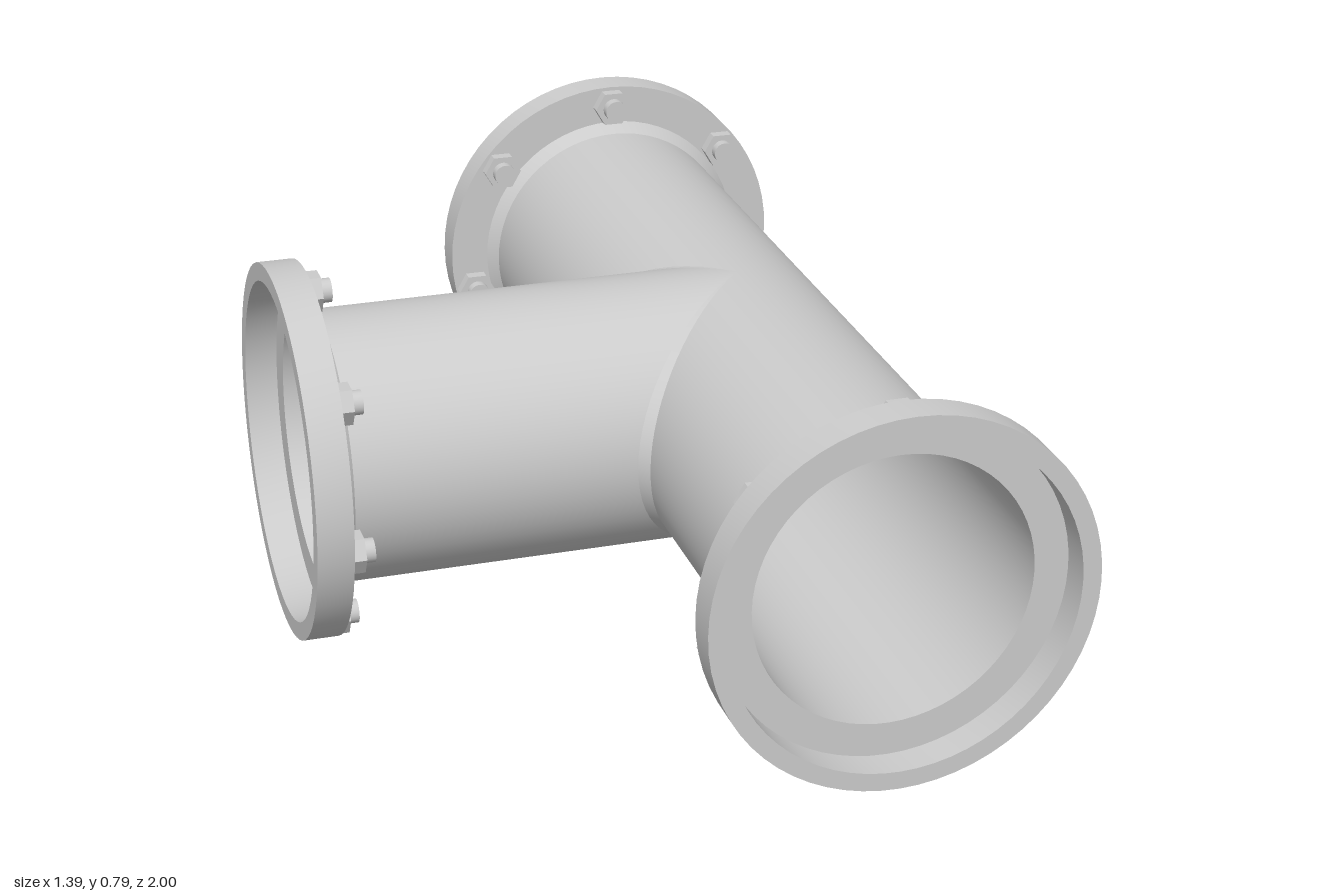
import * as THREE from 'three';
import { toCreasedNormals } from 'three/addons/utils/BufferGeometryUtils.js';
import { ParametricGeometry } from 'three/addons/geometries/ParametricGeometry.js';

const R = 0.285;          // pipe radius
const FLANGE_R = 0.393;
const FLANGE_T = 0.075;   // flange thickness
const RECESS = 0.068;     // depth of the socket in the flange face
const BOLTS = 7;
const BOLT_R = 0.347;     // bolt circle radius

const steel = new THREE.MeshStandardMaterial({ color: 0xcccccc, side: THREE.DoubleSide });

function add(parent, geometry, name) {
  const mesh = new THREE.Mesh(geometry, steel);
  mesh.name = name;
  parent.add(mesh);
  return mesh;
}

// Ring turned around the z axis from [radius, z] pairs
function turned(points) {
  const profile = points.map(([r, z]) => new THREE.Vector2(r, z));
  const geometry = new THREE.LatheGeometry(profile, 64).rotateX(Math.PI / 2);
  return toCreasedNormals(geometry, Math.PI / 6);
}

// Thin open tube along +z whose inner end is cut to the mitre z = cut(x)
function mitredPipe(length, cut) {
  const geometry = new THREE.CylinderGeometry(R, R, length, 64, 1, true);
  geometry.rotateX(Math.PI / 2).translate(0, 0, length / 2);
  const p = geometry.attributes.position;
  for (let i = 0; i < p.count; i++) {
    if (p.getZ(i) < length / 2) p.setZ(i, cut(p.getX(i)));
  }
  return geometry;
}

// Hexagonal nut with the bolt end, pointing away from the flange (-z)
function createBolt() {
  const bolt = new THREE.Group();
  bolt.name = 'bolt';
  const nut = new THREE.CylinderGeometry(0.043, 0.043, 0.026, 6);
  nut.rotateY(Math.PI / 6).rotateX(Math.PI / 2).translate(0, 0, -0.013);
  add(bolt, toCreasedNormals(nut, 0.5), 'nut');
  const shank = new THREE.CylinderGeometry(0.025, 0.025, 0.048, 20);
  add(bolt, shank.rotateX(Math.PI / 2).translate(0, 0, -0.024), 'boltEnd');
  return bolt;
}

// One arm of the tee: pipe, flange, weld collar and bolts
function createArm(name, length, cut) {
  const arm = new THREE.Group();
  arm.name = name;
  add(arm, mitredPipe(length - RECESS, cut), 'pipe');

  const back = length - FLANGE_T;
  const floor = length - RECESS;
  add(arm, turned([
    [R, back], [FLANGE_R, back], [FLANGE_R, length], [0.355, length],
    [0.355, floor], [R, floor], [R, back],
  ]), 'flange');
  add(arm, turned([[R, back - 0.025], [0.307, back]]), 'weldCollar');

  for (let i = 0; i < BOLTS; i++) {
    const a = (i / BOLTS) * Math.PI * 2;
    const bolt = createBolt();
    bolt.position.set(Math.sin(a) * BOLT_R, Math.cos(a) * BOLT_R, back);
    arm.add(bolt);
  }
  return arm;
}

export function createModel() {
  const tee = new THREE.Group();
  tee.name = 'pipeTee';

  // Straight run, front and back halves
  const front = createArm('frontArm', 1, (x) => Math.max(0, -x));
  const rear = createArm('backArm', 1, (x) => Math.max(0, x));
  rear.rotation.y = Math.PI;

  // Side branch
  const branch = createArm('branchArm', 0.995, (x) => Math.abs(x));
  branch.rotation.y = -Math.PI / 2;
  tee.add(front, rear, branch);

  // Small weld along each mitre, fading out at top and bottom
  for (const side of [1, -1]) {
    const weld = new ParametricGeometry((u, v, target) => {
      const t = (u - 0.5) * Math.PI;
      const c = Math.cos(t);
      const d = 0.02 * c;
      target.set(-R * c - d * (1 - v), R * Math.sin(t), side * (R * c + d * v));
    }, 32, 1);
    add(tee, weld, side > 0 ? 'frontMitreWeld' : 'backMitreWeld');
  }

  tee.position.set(0.3, FLANGE_R, 0);
  const model = new THREE.Group();
  model.name = 'flangedTee';
  model.add(tee);
  return model;
}
